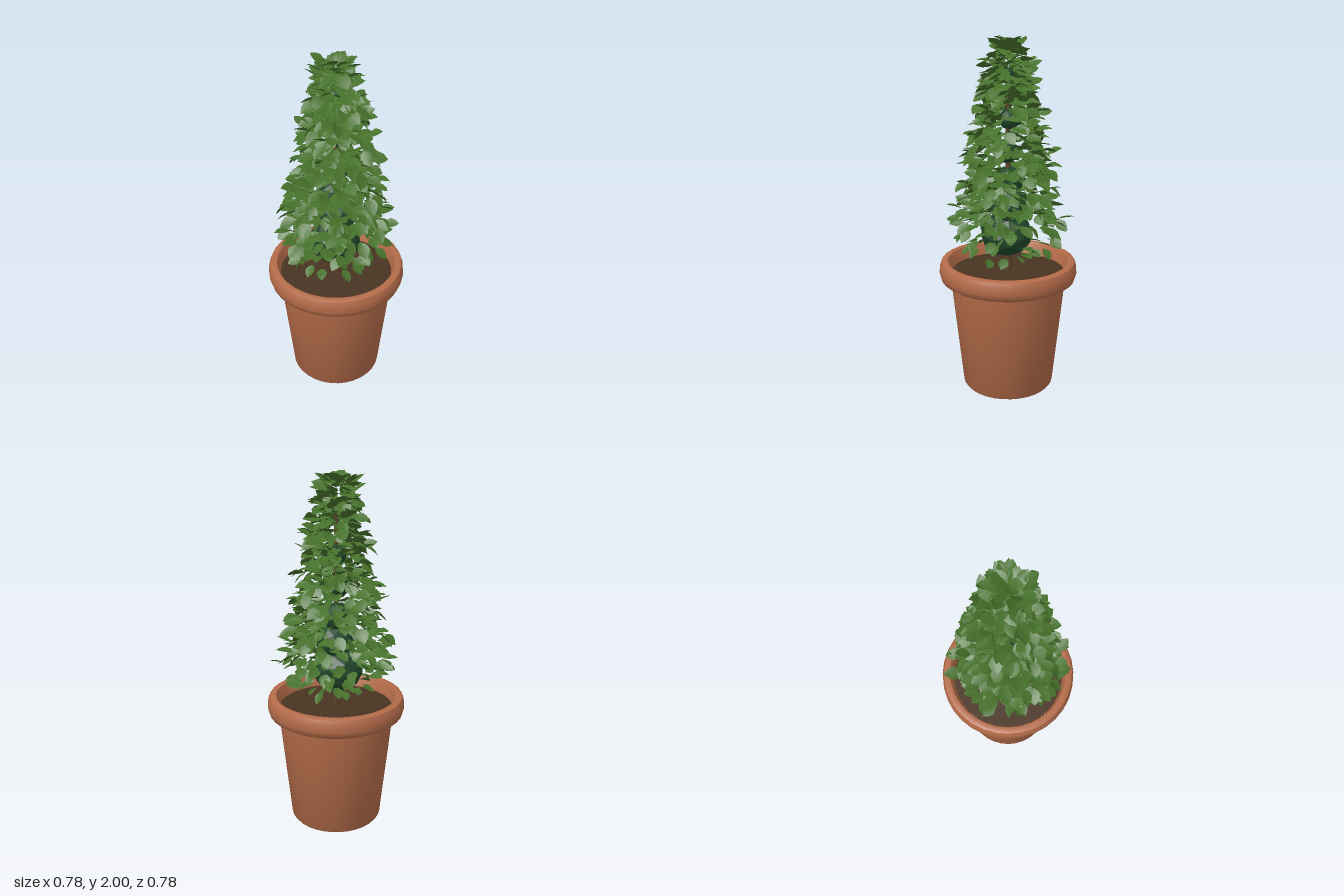
import * as THREE from 'three';
import { mergeGeometries, toCreasedNormals } from 'three/addons/utils/BufferGeometryUtils.js';

const mat = (name, color, extra = {}) => {
  const m = new THREE.MeshStandardMaterial({ color, ...extra });
  m.name = name;
  return m;
};

// small seeded generator
let seed = 11;
const rnd = () => {
  seed = (seed * 16807) % 2147483647;
  return seed / 2147483647;
};
const spread = (a) => (rnd() * 2 - 1) * a;

// foliage outline: [height, radius]
const OUTLINE = [[0.7, 0.28], [0.85, 0.33], [0.98, 0.355], [1.1, 0.315], [1.3, 0.28],
  [1.5, 0.235], [1.7, 0.185], [1.87, 0.155], [1.94, 0.12], [2, 0.08]];
function outlineRadius(y) {
  const i = Math.max(1, OUTLINE.findIndex(([h]) => y <= h));
  const [y0, r0] = OUTLINE[i - 1], [y1, r1] = OUTLINE[i];
  return THREE.MathUtils.mapLinear(y, y0, y1, r0, r1);
}

// one pointed leaf along +z, folded gently along its midrib
function leafGeometry() {
  const rows = [[0, 0.003], [0.2, 0.27], [0.48, 0.38], [0.76, 0.25], [1, 0.003]]; // [along, half width]
  const pos = [], index = [];
  rows.forEach(([z, w]) => {
    const sag = -0.14 * z * z;
    pos.push(-w, sag + w * 0.2, z, 0, sag, z, w, sag + w * 0.2, z);
  });
  for (let i = 0; i < rows.length - 1; i++) {
    for (let j = 0; j < 2; j++) {
      const a = i * 3 + j;
      index.push(a, a + 3, a + 1, a + 1, a + 3, a + 4);
    }
  }
  const g = new THREE.BufferGeometry();
  g.setAttribute('position', new THREE.Float32BufferAttribute(pos, 3));
  g.setIndex(index);
  g.computeVertexNormals();
  return g;
}

function foliageGeometry() {
  const leaf = leafGeometry(), parts = [];
  const up = new THREE.Vector3(0, 1, 0);
  const addLeaf = (angle, y, tipRadius, tilt, size) => {
    const heading = angle + spread(0.7);
    const forward = new THREE.Vector3(Math.sin(heading) * Math.cos(tilt), Math.sin(tilt), Math.cos(heading) * Math.cos(tilt));
    const side = new THREE.Vector3().crossVectors(up, forward).normalize();
    side.applyAxisAngle(forward, spread(0.7));
    const normal = new THREE.Vector3().crossVectors(forward, side);
    const r = Math.max(0.005, tipRadius - size * Math.cos(tilt));
    const m = new THREE.Matrix4().makeBasis(side, normal, forward);
    m.scale(new THREE.Vector3(size, size, size));
    m.setPosition(Math.sin(angle) * r, y, Math.cos(angle) * r);
    parts.push(leaf.clone().applyMatrix4(m));
  };

  // sprigs spiral up the cone, each carrying a few leaves
  const sprigs = 150;
  for (let i = 0; i < sprigs; i++) {
    const t = (i + 0.5) / sprigs;
    const y = 0.97 + 0.91 * Math.pow(t, 1.1);
    const angle = i * 2.39996 + spread(0.2);
    const reach = 1 + spread(0.1);
    for (let k = 0; k < 5; k++) {
      const ly = y + spread(0.06);
      const depth = 1 - 0.11 * k * (0.6 + 0.5 * rnd());
      const tilt = THREE.MathUtils.lerp(-0.2, 0.1, t) + spread(0.65);
      addLeaf(angle + spread(0.3), ly, outlineRadius(ly) * reach * depth, tilt, 0.09 + spread(0.013));
    }
  }
  // low clusters reaching over the rim
  for (let i = 0; i < 13; i++) {
    const angle = i * 2.39996 + 1.2, y = 0.84 + 0.1 * rnd();
    for (let k = 0; k < 5; k++) {
      const ly = y + spread(0.05);
      addLeaf(angle + spread(0.22), ly, outlineRadius(ly) * (0.78 + 0.24 * rnd()), -0.2 + spread(0.5), 0.085);
    }
  }
  // stray leaves just above the soil
  for (let i = 0; i < 14; i++) {
    addLeaf(i * 2.39996, 0.75 + 0.06 * rnd(), 0.2 + 0.1 * rnd(), -0.3 + spread(0.4), 0.078);
  }
  // upright crown tuft
  for (let i = 0; i < 30; i++) {
    addLeaf(i * 2.39996, 1.88 + 0.05 * rnd(), 0.05 + 0.06 * rnd(), 0.3 + 0.6 * rnd(), 0.078);
  }

  const g = mergeGeometries(parts);
  g.computeBoundingBox();
  g.translate(0, 2 - g.boundingBox.max.y, 0);
  return g;
}

export function createModel() {
  seed = 11;
  const model = new THREE.Group();
  model.name = 'pottedTopiary';
  const terracotta = mat('terracotta', 0xb36b49);
  const soilBrown = mat('soil brown', 0x493422);
  const barkBrown = mat('bark brown', 0x5a4028);
  const coreGreen = mat('deep green', 0x1f4529, { flatShading: true });
  const leafGreen = mat('leaf green', 0x46712b, { side: THREE.DoubleSide });
  const add = (name, geometry, material, parent = model) => {
    const mesh = new THREE.Mesh(geometry, material);
    mesh.name = name;
    parent.add(mesh);
    return mesh;
  };

  // pot with a narrow neck, rolled rim and hollow top
  const profile = [[0, 0], [0.248, 0], [0.26, 0.015], [0.325, 0.63], [0.332, 0.634],
    [0.335, 0.643], [0.362, 0.641], [0.38, 0.653], [0.39, 0.685], [0.388, 0.728], [0.378, 0.752],
    [0.36, 0.76], [0.342, 0.757], [0.335, 0.745], [0.318, 0.66]];
  const pot = new THREE.LatheGeometry(profile.map(([x, y]) => new THREE.Vector2(x, y)), 32);
  add('pot', toCreasedNormals(pot, 0.75), terracotta);

  // soil surface
  add('soil', new THREE.CylinderGeometry(0.322, 0.318, 0.02, 32), soilBrown).position.y = 0.675;

  // trunk
  add('trunk', new THREE.CylinderGeometry(0.01, 0.02, 1.15, 8), barkBrown).position.y = 1.245;

  // dark inner foliage masses, shrinking toward the top
  const core = new THREE.Group();
  core.name = 'innerFoliage';
  model.add(core);
  const masses = [[0.905, 0.147], [1.08, 0.11], [1.22, 0.09], [1.38, 0.075], [1.56, 0.065], [1.8, 0.035]];
  masses.forEach(([y, r], i) => {
    const mass = add('foliageMass', new THREE.IcosahedronGeometry(r, 1), coreGreen, core);
    mass.position.set(0.012 * Math.sin(i * 2.4), y, 0.012 * Math.cos(i * 2.4));
    mass.scale.y = 0.86;
    mass.rotation.y = i * 0.9;
  });

  // outer leaves
  add('leaves', foliageGeometry(), leafGreen);
  return model;
}
